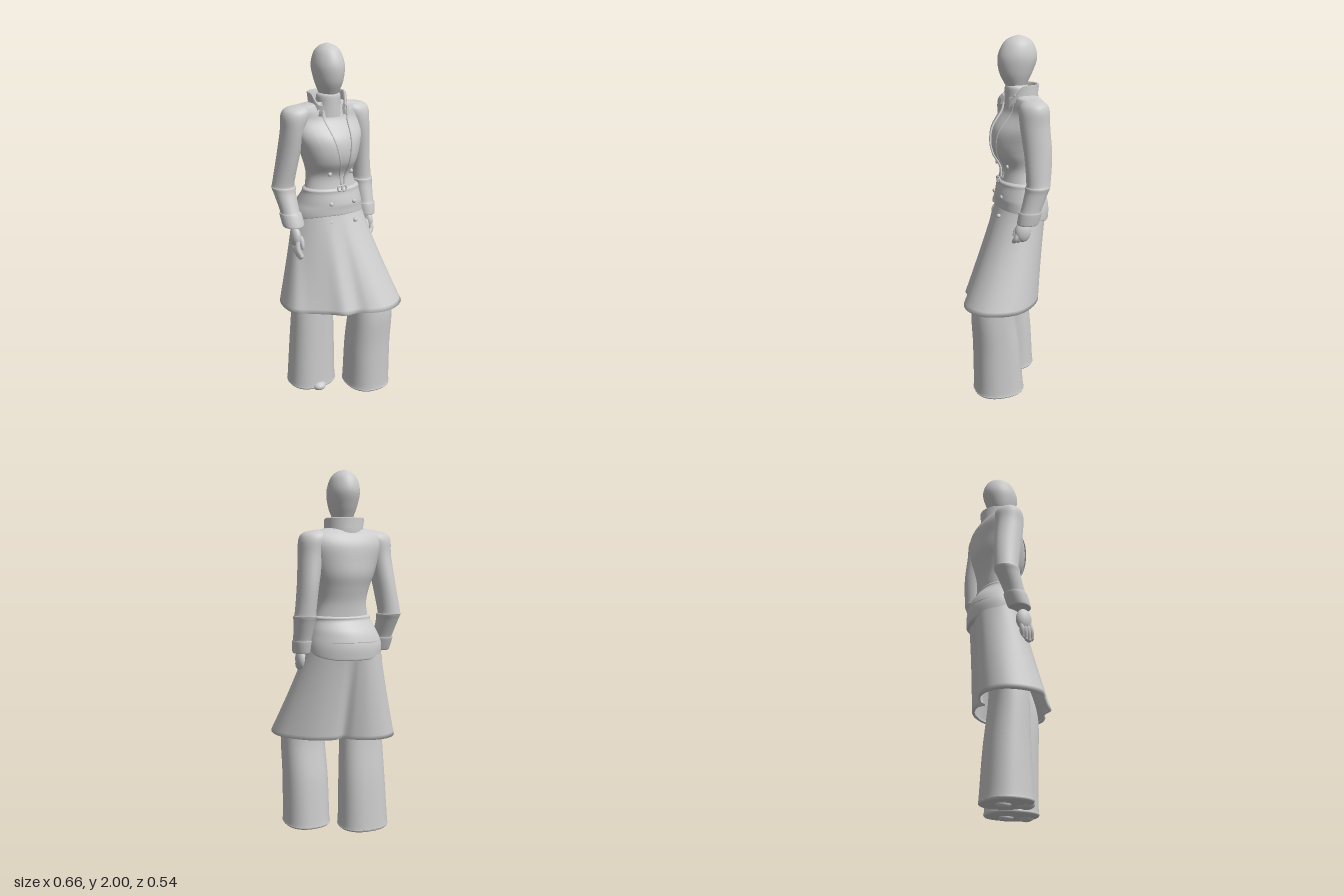
import * as THREE from 'three';

const mat = new THREE.MeshStandardMaterial({ color: 0xcccccc, side: THREE.DoubleSide });

// Smooth surface from closed rings: fn(u, v) -> [x, y, z], u wraps around
function ringSurface(fn, nu, nv, caps = true) {
  const pos = [], idx = [];
  for (let i = 0; i <= nv; i++)
    for (let j = 0; j < nu; j++) pos.push(...fn(j / nu, i / nv));
  for (let i = 0; i < nv; i++)
    for (let j = 0; j < nu; j++) {
      const k = (j + 1) % nu, a = i * nu + j, b = i * nu + k;
      idx.push(a, b, b + nu, a, b + nu, a + nu);
    }
  if (caps) for (const v of [0, 1]) {
    const base = pos.length / 3, mid = [0, 0, 0];
    for (let j = 0; j < nu; j++) {
      const p = fn(j / nu, v);
      p.forEach((c, n) => { mid[n] += c / nu; });
      pos.push(...p);
    }
    pos.push(...mid);
    for (let j = 0; j < nu; j++) {
      const a = base + j, b = base + (j + 1) % nu;
      idx.push(...(v ? [a, b, base + nu] : [b, a, base + nu]));
    }
  }
  return finish(pos, idx);
}

function finish(pos, idx) {
  const g = new THREE.BufferGeometry();
  g.setAttribute('position', new THREE.Float32BufferAttribute(pos, 3));
  g.setIndex(idx);
  g.computeVertexNormals();
  return g;
}

// Cubic interpolation through section rows [y, cx, cz, rx, rz], bottom to top
function rowAt(rows, v) {
  const n = rows.length - 1, s = Math.min(v * n, n - 1e-6), i = Math.floor(s), t = s - i;
  const r = k => rows[Math.max(0, Math.min(n, k))];
  return rows[0].map((_, c) => {
    const p0 = r(i - 1)[c], p1 = r(i)[c], p2 = r(i + 1)[c], p3 = r(i + 2)[c];
    return p1 + 0.5 * t * (p2 - p0 + t * (2 * p0 - 5 * p1 + 4 * p2 - p3 + t * (3 * (p1 - p2) + p3 - p0)));
  });
}

const spow = (x, p) => Math.sign(x) * Math.abs(x) ** p;
function loft(rows, power = 1, nu = 48) {
  return ringSurface((u, v) => {
    const [y, cx, cz, rx, rz] = rowAt(rows, v), a = u * Math.PI * 2;
    return [cx + rx * spow(Math.sin(a), power), y, cz + rz * spow(Math.cos(a), power)];
  }, nu, (rows.length - 1) * 6);
}

// Height of the front of a lofted body at (x, y)
function frontZ(rows, x, y) {
  let lo = 0, hi = 1;
  for (let i = 0; i < 24; i++) {
    const mid = (lo + hi) / 2;
    if (rowAt(rows, mid)[0] < y) lo = mid; else hi = mid;
  }
  const [, cx, cz, rx, rz] = rowAt(rows, lo);
  return cz + rz * Math.sqrt(Math.max(0, 1 - ((x - cx) / rx) ** 2));
}

export function createModel() {
  const model = new THREE.Group();
  const add = (name, geo, parent = model) => {
    const m = new THREE.Mesh(geo, mat);
    m.name = name;
    parent.add(m);
    return m;
  };
  const ball = (name, p, s, parent) => {
    const m = add(name, new THREE.SphereGeometry(1, 20, 14), parent);
    m.position.set(...p);
    m.scale.set(...s);
    return m;
  };

  // Head and neck
  add('head', loft([[1.715, -0.025, -0.085, 0.04, 0.042], [1.75, -0.025, -0.08, 0.055, 0.06],
    [1.81, -0.025, -0.08, 0.075, 0.09], [1.885, -0.025, -0.088, 0.085, 0.107],
    [1.95, -0.025, -0.092, 0.07, 0.087], [1.985, -0.025, -0.093, 0.041, 0.051], [2, -0.025, -0.093, 0.003, 0.003]]));
  add('neckBand', loft([[1.62, -0.025, -0.095, 0.08, 0.075], [1.68, -0.025, -0.087, 0.068, 0.066],
    [1.73, -0.025, -0.084, 0.066, 0.062], [1.745, -0.025, -0.083, 0.054, 0.054]]));

  // Fitted upper coat with shoulders
  const torso = [[1.2, -0.01, -0.09, 0.16, 0.108], [1.3, -0.013, -0.1, 0.137, 0.105],
    [1.38, -0.015, -0.09, 0.153, 0.135], [1.45, -0.018, -0.095, 0.174, 0.15], [1.52, -0.02, -0.104, 0.196, 0.142],
    [1.6, -0.022, -0.13, 0.215, 0.11], [1.65, -0.022, -0.127, 0.222, 0.092], [1.677, -0.022, -0.12, 0.195, 0.077],
    [1.69, -0.024, -0.112, 0.135, 0.07], [1.7, -0.025, -0.1, 0.085, 0.064]];
  add('coatBody', loft(torso, 1, 64));

  // Standing collar, dropping away towards the front
  const section = [[0.01, -0.06], [0, 0], [0.006, 0.045], [0, 0.05], [-0.01, 0.045], [-0.014, 0], [-0.008, -0.06]];
  add('collar', ringSurface((u, v) => {
    const [o, h] = section[Math.round(u * section.length) % section.length];
    const a = 0.7 + v * (Math.PI * 2 - 1.4), rise = THREE.MathUtils.smoothstep(Math.min(a, Math.PI * 2 - a), 0.85, 1.5);
    return [-0.025 + (0.102 + o) * Math.sin(a), 1.662 + 0.038 * rise + h * (0.5 + 0.5 * rise), -0.1 + (0.1 + o) * Math.cos(a)];
  }, section.length, 48));

  // Lapels following the chest, with a piped edge
  const lapels = [[-1, -0.1, 0.004], [1, 0.07, 0.022]];
  for (const [side, top, bottom] of lapels) {
    const edge = (t, w, lift) => {
      const x = top + (bottom - top) * t ** 0.9 + side * w * 0.085 * Math.sin(Math.PI * t ** 0.65);
      const y = 1.67 - 0.42 * t;
      return [x, y, frontZ(torso, x, y) + lift];
    };
    const pos = [], idx = [], n = 30, m = 6;
    for (let i = 0; i <= n; i++)
      for (let j = 0; j <= m; j++) pos.push(...edge(i / n, j / m, 0.008));
    for (let i = 0; i < n; i++)
      for (let j = 0; j < m; j++) {
        const a = i * (m + 1) + j, b = a + m + 1;
        idx.push(...(side > 0 ? [a, b, b + 1, a, b + 1, a + 1] : [a, b + 1, b, a, a + 1, b + 1]));
      }
    add(side > 0 ? 'leftLapel' : 'rightLapel', finish(pos, idx));
    const line = Array.from({ length: 25 }, (_, i) => new THREE.Vector3(...edge(i / 24, 0, 0.005)));
    add('lapelEdge', new THREE.TubeGeometry(new THREE.CatmullRomCurve3(line), 48, 0.006, 8));
  }

  // Coat tail over the hips
  const peplum = [[1.03, -0.02, -0.116, 0.198, 0.147], [1.04, -0.02, -0.116, 0.202, 0.151], [1.09, -0.02, -0.116, 0.2, 0.151],
    [1.15, -0.015, -0.106, 0.185, 0.141], [1.205, -0.011, -0.092, 0.169, 0.116], [1.225, -0.01, -0.091, 0.167, 0.114],
    [1.235, -0.01, -0.092, 0.155, 0.104]];
  const tail = add('coatTail', loft(peplum, 1, 64));
  // Lower edge rises towards the front, and the hips turn with the stride
  const hipTurn = x => 0.1 * (x + 0.02);
  const tp = tail.geometry.attributes.position;
  for (let i = 0; i < tp.count; i++) {
    const k = Math.max(0, (1.15 - tp.getY(i)) / 0.12), f = THREE.MathUtils.clamp((tp.getZ(i) + 0.25) / 0.28, 0, 1);
    tp.setZ(i, tp.getZ(i) + hipTurn(tp.getX(i)) * Math.min(1, (1.235 - tp.getY(i)) / 0.1));
    tp.setY(i, tp.getY(i) + k * (0.08 * f - 0.025));
  }
  tail.geometry.computeVertexNormals();

  // Buttons and buckle
  for (const x of [-0.07, 0.07]) {
    ball('button', [x, 1.32, frontZ(torso, x, 1.32) + 0.011], [0.012, 0.012, 0.008]);
    ball('button', [x, 1.155, frontZ(peplum, x, 1.155) + hipTurn(x) + 0.006], [0.012, 0.012, 0.008]);
    ball('button', [x, 1.05, 0.036 + 0.18 * x], [0.012, 0.012, 0.012]);
  }
  for (const x of [-0.014, 0.01]) {
    const ring = add('buckle', new THREE.TorusGeometry(0.015, 0.005, 8, 20));
    ring.position.set(x, 1.237, 0.026);
  }

  // Swept skirt from the hips to an uneven hem, with a vent at the back and a turned-in edge
  const hem = new THREE.CatmullRomCurve3([[0, 0.21], [0.06, 0.248], [0.14, 0.27], [0.22, 0.255], [0.29, 0.2],
    [0.325, 0.1], [0.318, 0.01], [0.26, -0.08], [0.16, -0.155], [0.06, -0.178], [0.01, -0.16], [-0.035, -0.205],
    [-0.12, -0.248], [-0.22, -0.245], [-0.295, -0.19], [-0.325, -0.09], [-0.31, 0.02], [-0.24, 0.075],
    [-0.14, 0.15], [-0.08, 0.203]].map(([x, z]) => new THREE.Vector3(x, 0, z)), true);
  add('skirt', ringSurface((u, v) => {
    const p = hem.getPoint(u), lip = v < 0.01 ? 0.93 : 1;
    const t = v < 0.01 ? 1 : 1 - (v - 0.04) / 0.96;
    const a = Math.atan2(p.x - 0.01, p.z * 1.25 + 0.01), k = t ** 1.08;
    const hx = -0.02 + 0.195 * Math.sin(a), hz = -0.117 + 0.147 * Math.cos(a) + hipTurn(hx);
    // The back hangs straight, the front sweeps forward
    const kz = t ** (1.08 - 0.4 * Math.max(0, -Math.cos(a)));
    return [(hx + (p.x - hx) * k) * lip, 1.1 - 0.54 * t + 0.018 * k * p.x, (hz + (p.z - hz) * kz) * lip];
  }, 100, 25, false));

  // Wide trousers, closed at the hem, with shoe tips and heels below
  const legs = [
    ['left', [[0.022, 0.134, 0.073, 0.127, 0.139], [0.032, 0.134, 0.073, 0.133, 0.144], [0.06, 0.134, 0.073, 0.129, 0.14],
      [0.3, 0.134, 0.085, 0.126, 0.13], [0.57, 0.139, 0.104, 0.121, 0.115], [0.78, 0.125, 0.03, 0.11, 0.105],
      [1, 0.07, -0.08, 0.09, 0.1]],
    [[0.145, 0.165], [0.15, 0.05]]],
    ['right', [[0.022, -0.145, -0.102, 0.138, 0.122], [0.032, -0.145, -0.102, 0.144, 0.127], [0.06, -0.145, -0.102, 0.14, 0.124],
      [0.3, -0.14, -0.097, 0.131, 0.112], [0.57, -0.137, -0.085, 0.12, 0.095], [0.78, -0.125, -0.09, 0.11, 0.095],
      [1, -0.1, -0.11, 0.09, 0.1]],
    [[-0.15, 0.005], [-0.15, -0.12]]]];
  for (const [side, rows, [toe, heel]] of legs) {
    const leg = new THREE.Group();
    leg.name = side + 'Leg';
    model.add(leg);
    add('trouser', loft(rows, 0.85), leg);
    ball('shoeTip', [toe[0], 0.033, toe[1]], [0.042, 0.028, 0.045], leg);
    ball('heel', [heel[0], 0.022, heel[1]], [0.032, 0.022, 0.04], leg);
  }

  // Sleeves with an elbow fold and cuff, and relaxed hands
  const arms = [
    ['left', [[1.035, 0.21, -0.07, 0.046, 0.056], [1.045, 0.21, -0.071, 0.05, 0.06], [1.1, 0.212, -0.083, 0.054, 0.062],
      [1.11, 0.212, -0.086, 0.049, 0.056], [1.2, 0.211, -0.114, 0.056, 0.062], [1.235, 0.21, -0.123, 0.063, 0.067],
      [1.255, 0.209, -0.127, 0.056, 0.065], [1.4, 0.195, -0.129, 0.056, 0.075], [1.55, 0.174, -0.117, 0.067, 0.08],
      [1.635, 0.155, -0.118, 0.083, 0.079], [1.672, 0.14, -0.12, 0.072, 0.056], [1.687, 0.12, -0.12, 0.02, 0.015]],
    [0.208, 1.03, -0.055], [0.2, 0.93, -0.022], 1],
    ['right', [[1.03, -0.25, -0.08, 0.052, 0.056], [1.04, -0.25, -0.082, 0.06, 0.062], [1.1, -0.255, -0.106, 0.06, 0.064],
      [1.11, -0.256, -0.11, 0.053, 0.057], [1.2, -0.264, -0.15, 0.06, 0.063], [1.235, -0.265, -0.163, 0.067, 0.069],
      [1.255, -0.265, -0.167, 0.06, 0.067], [1.4, -0.243, -0.148, 0.059, 0.077], [1.55, -0.221, -0.125, 0.065, 0.08],
      [1.635, -0.203, -0.121, 0.081, 0.08], [1.672, -0.187, -0.12, 0.07, 0.056], [1.687, -0.165, -0.12, 0.02, 0.015]],
    [-0.252, 1.03, -0.07], [-0.25, 0.86, -0.03], -1]];
  for (const [side, rows, wrist, tip, s] of arms) {
    const arm = new THREE.Group();
    arm.name = side + 'Arm';
    model.add(arm);
    add('sleeve', loft(rows, 1, 36), arm);
    const at = (t, dx, dz) => new THREE.Vector3(...wrist.map((w, i) => w + (tip[i] - w) * t)).add(new THREE.Vector3(dx, 0, dz));
    ball('palm', at(0.35, 0, 0).toArray(), [0.028, 0.06, 0.045], arm);
    for (let f = 0; f < 4; f++) {
      const z = 0.027 - f * 0.018, reach = 1 - 0.06 * Math.abs(f - 1.3);
      const path = new THREE.CatmullRomCurve3([at(0.35, 0, z), at(0.7, s * 0.006, z), at(reach, -s * 0.008, z)]);
      add('finger', new THREE.TubeGeometry(path, 10, 0.014, 10), arm);
      ball('fingertip', path.getPoint(1).toArray(), [0.014, 0.014, 0.014], arm);
    }
    const thumb = ball('thumb', at(0.5, -s * 0.022, 0.03).toArray(), [0.013, 0.04, 0.014], arm);
    thumb.rotation.x = -0.25;
  }
  return model;
}
